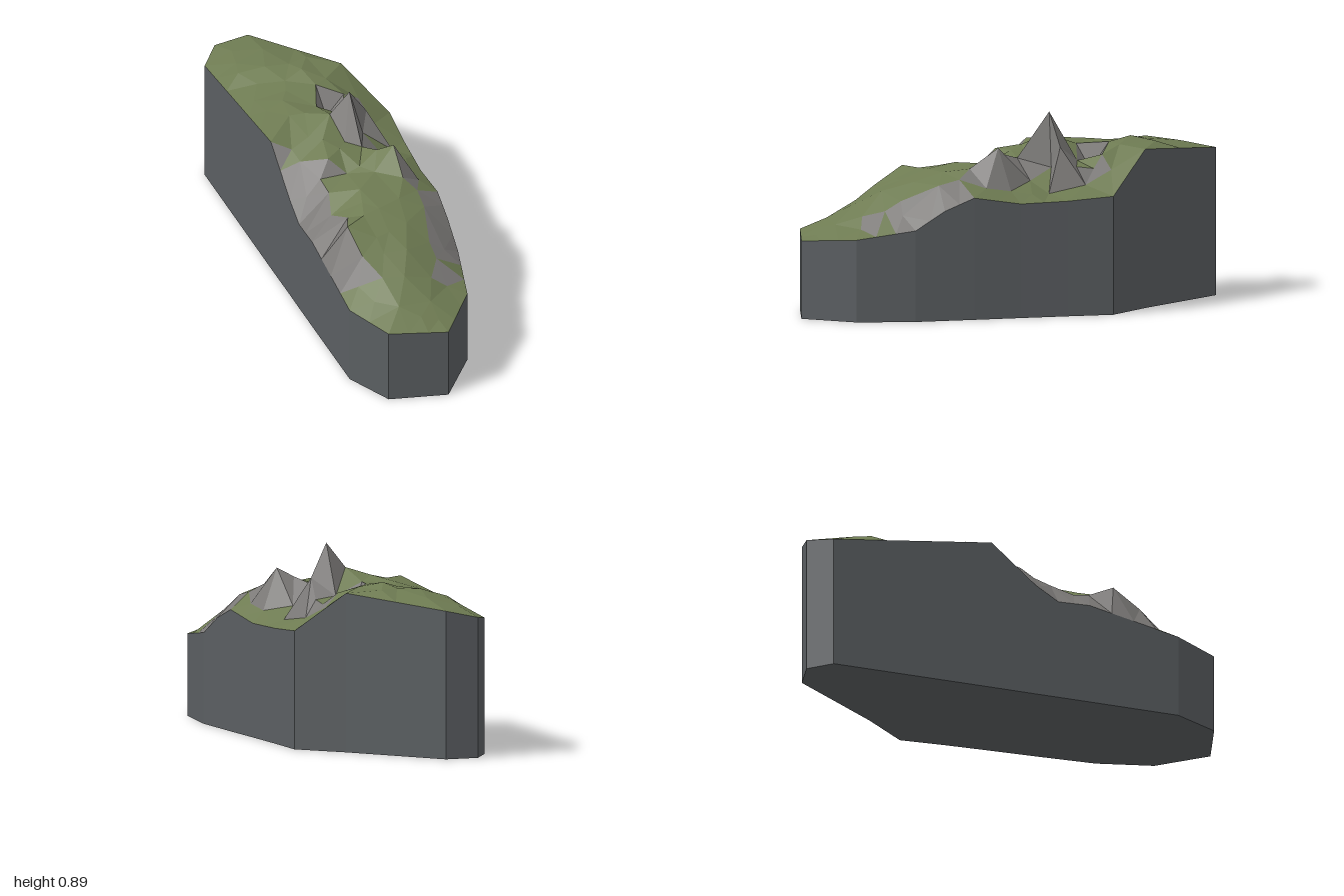
import * as THREE from 'three';

const V = (x, y, z) => new THREE.Vector3(x, y, z);
const toPoints = (n) => Array.from({ length: n.length / 3 }, (_, i) => V(n[i * 3], n[i * 3 + 1], n[i * 3 + 2]));

// Upper edge of the block, anticlockwise seen from above (x, y, z)
const RIM = toPoints([
  -0.505, 0.39, 0.61, -0.48, 0.37, 0.84, -0.26, 0.355, 1, -0.02, 0.375, 0.87,
  0.13, 0.415, 0.65, 0.185, 0.5, 0.525, 0.24, 0.555, 0.4, 0.325, 0.52, 0.2, 0.412, 0.525, 0,
  0.5, 0.54, -0.19, 0.425, 0.725, -0.43, 0.31, 0.675, -0.92, 0.18, 0.64, -1,
  0.06, 0.62, -0.94, -0.2, 0.72, -0.23, -0.272, 0.54, -0.03, -0.309, 0.475, 0.07, -0.36, 0.48, 0.21,
]);

// Summits, terraces and hollows inside the edge
const FEATURES = toPoints([
  // main summit, shoulder, lower summits and gullies
  0.155, 0.895, -0.09, 0.08, 0.78, -0.14, 0.155, 0.755, 0.2, 0.25, 0.745, -0.08,
  0.21, 0.65, -0.06, 0.21, 0.6, 0.06, 0.31, 0.55, 0.03, 0.25, 0.57, 0.2, 0.36, 0.58, -0.14,
  0.1, 0.69, 0.05, 0.06, 0.7, -0.02,
  // hollow behind the summit
  0.2, 0.62, -0.29, 0.12, 0.73, -0.27, 0.22, 0.74, -0.38, 0.3, 0.7, -0.28, 0.22, 0.67, -0.2, 0.38, 0.64, -0.27,
  // front terraces
  -0.16, 0.56, 0.62, -0.34, 0.56, 0.52, -0.31, 0.64, 0.39, -0.2, 0.64, 0.38, 0.0, 0.645, 0.4,
  0.1, 0.665, 0.32, -0.1, 0.665, 0.25, -0.02, 0.53, 0.62, 0.08, 0.6, 0.48, -0.33, 0.5, 0.64,
  -0.09, 0.71, 0.03, 0.0, 0.71, 0.01, -0.05, 0.65, 0.11, 0.01, 0.67, 0.13, -0.18, 0.62, 0.13, -0.16, 0.67, -0.08,
  -0.36, 0.43, 0.78, -0.22, 0.42, 0.84, -0.08, 0.41, 0.8, -0.25, 0.5, 0.7,
  // rear plateau
  0.235, 0.76, -0.49, 0.1, 0.73, -0.45, -0.02, 0.735, -0.3, 0.33, 0.74, -0.56,
  0.15, 0.735, -0.64, 0.06, 0.7, -0.72, 0.25, 0.715, -0.76, 0.17, 0.68, -0.88,
]);

function seeded(seed) {
  return () => ((seed = (seed * 16807) % 2147483647) / 2147483647);
}

function inside(x, z, ring) {
  let hit = false;
  ring.forEach((a, i) => {
    const b = ring[(i + 1) % ring.length];
    if (a.z > z !== b.z > z && x < a.x + ((z - a.z) / (b.z - a.z)) * (b.x - a.x)) hit = !hit;
  });
  return hit;
}

const area = (a, b, c) => (b.z - a.z) * (c.x - a.x) - (b.x - a.x) * (c.z - a.z);

// Delaunay triangulation in plan; triangles face up
function triangulate(points, ring) {
  const make = (a, b, c) => {
    if (area(a, b, c) < 0) [b, c] = [c, b];
    const bx = b.x - a.x, bz = b.z - a.z, cx = c.x - a.x, cz = c.z - a.z;
    const d = 2 * (bx * cz - bz * cx) || 1e-12;
    const b2 = bx * bx + bz * bz, c2 = cx * cx + cz * cz;
    const ux = (cz * b2 - bz * c2) / d, uz = (bx * c2 - cx * b2) / d;
    return { p: [a, b, c], x: a.x + ux, z: a.z + uz, r: ux * ux + uz * uz };
  };
  const outer = [V(-900, 0, -700), V(950, 0, -650), V(20, 0, 1000)];
  let tris = [make(...outer)];
  for (const q of points) {
    const bad = tris.filter((t) => (q.x - t.x) ** 2 + (q.z - t.z) ** 2 < t.r);
    const edges = bad.flatMap(({ p: [a, b, c] }) => [[a, b], [b, c], [c, a]]);
    const border = edges.filter(([a, b]) => !edges.some(([c, d]) => c === b && d === a));
    tris = tris.filter((t) => !bad.includes(t)).concat(border.map(([a, b]) => make(a, b, q)));
  }
  return tris.map((t) => t.p).filter(([a, b, c]) =>
    ![a, b, c].some((p) => outer.includes(p)) && area(a, b, c) > 1e-6 &&
    inside((a.x + b.x + c.x) / 3, (a.z + b.z + c.z) / 3, ring));
}

function heightAt(x, z, tris) {
  const q = V(x, 0, z);
  for (const [a, b, c] of tris) {
    const s = area(a, b, c), u = area(q, b, c) / s, v = area(a, q, c) / s, w = 1 - u - v;
    if (u >= 0 && v >= 0 && w >= 0) return u * a.y + v * b.y + w * c.y;
  }
  return null;
}

function facets(name, tris, color) {
  const geo = new THREE.BufferGeometry().setFromPoints(tris.flat());
  geo.computeVertexNormals();
  const mesh = new THREE.Mesh(geo, new THREE.MeshStandardMaterial({ color, flatShading: true }));
  mesh.name = name;
  return mesh;
}

export function createModel() {
  const group = new THREE.Group();
  group.name = 'terrainBlock';

  // Rim split into short steps
  const rim = RIM.flatMap((a, i) => {
    const b = RIM[(i + 1) % RIM.length];
    const n = Math.ceil(Math.hypot(b.x - a.x, b.z - a.z) / 0.13);
    return Array.from({ length: n }, (_, k) => a.clone().lerp(b, k / n));
  });

  // Coarse surface, then extra slightly uneven points for smaller facets
  const points = [...rim, ...FEATURES];
  const coarse = triangulate(points, rim);
  const rand = seeded(41);
  for (let z = -0.95; z < 1; z += 0.09) {
    for (let x = -0.5; x < 0.5; x += 0.09) {
      const px = x + (rand() - 0.5) * 0.05, pz = z + (rand() - 0.5) * 0.05;
      const y = heightAt(px, pz, coarse);
      const bump = (rand() - 0.5) * 0.016;
      if (y !== null && points.every((p) => Math.hypot(p.x - px, p.z - pz) > 0.066)) points.push(V(px, y + bump, pz));
    }
  }
  const surface = triangulate(points, rim);

  // Grass on gentle ground, rock on steep ground
  const steep = ([a, b, c]) => new THREE.Triangle(a, b, c).getNormal(V(0, 0, 0)).y < 0.78;
  group.add(facets('grass', surface.filter((t) => !steep(t)), 0x6e7b52));
  group.add(facets('rock', surface.filter(steep), 0x7c7a78));

  // Cut sides and flat underside
  const sides = [], base = [], centre = V(0, 0, 0);
  rim.forEach((a, i) => {
    const b = rim[(i + 1) % rim.length];
    const a0 = V(a.x, 0, a.z), b0 = V(b.x, 0, b.z);
    sides.push([a0, b0, b], [a0, b, a]);
    base.push([centre, b0, a0]);
  });
  group.add(facets('sides', sides, 0x5a5e61));
  group.add(facets('underside', base, 0x5a5e61));
  return group;
}
